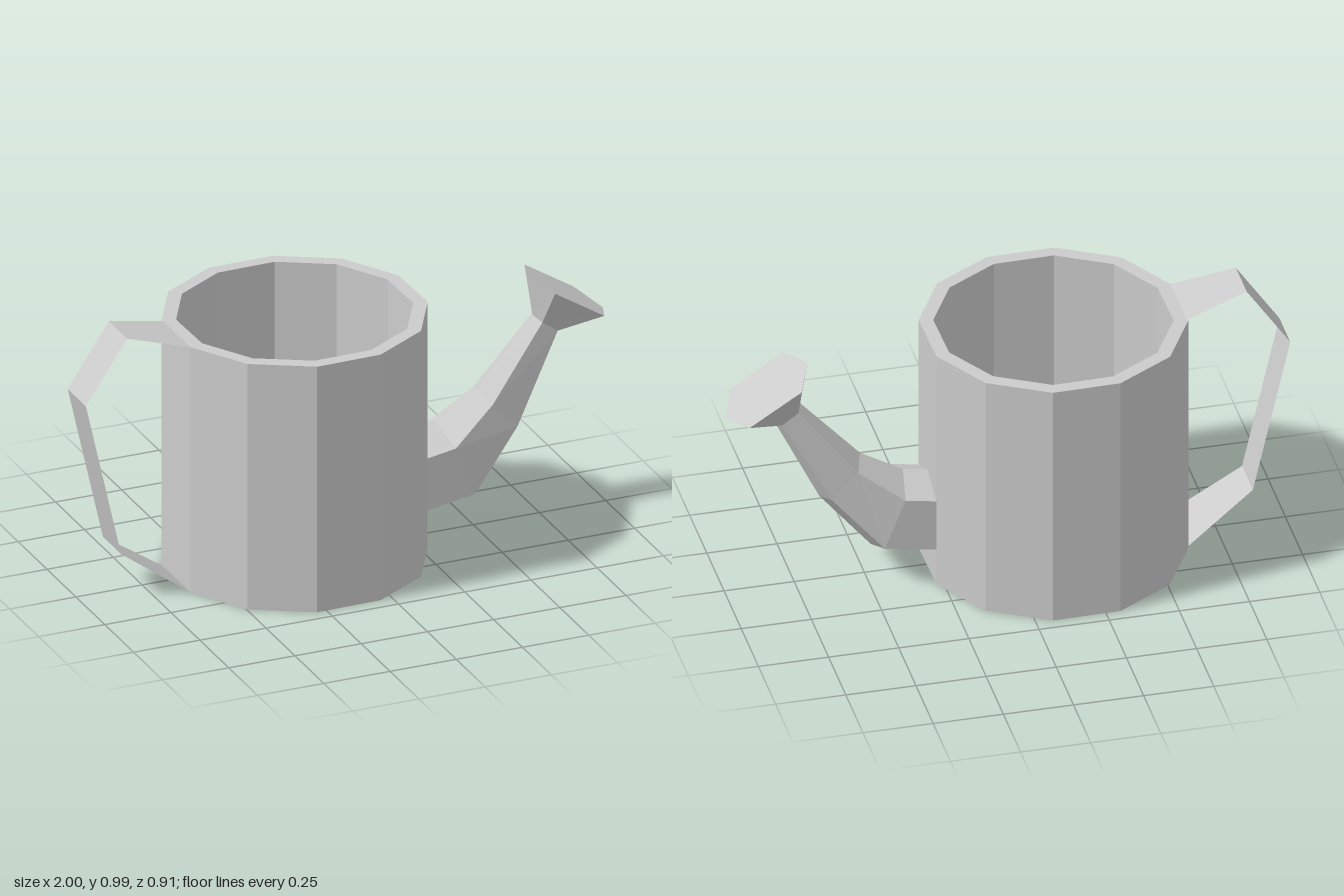
import * as THREE from 'three';

const grey = (side = THREE.FrontSide) =>
  new THREE.MeshStandardMaterial({ color: 0xcccccc, flatShading: true, side });

// Joins rings of points (all the same length) with quads; closed rings wrap round.
function loft(rings, closed, capEnd) {
  const n = rings[0].length;
  const index = [];
  for (let k = 0; k < rings.length - 1; k++) {
    for (let i = 0; i < (closed ? n : n - 1); i++) {
      const j = (i + 1) % n;
      const a = k * n + i, b = k * n + j;
      index.push(a, b, b + n, a, b + n, a + n);
    }
  }
  if (capEnd) {
    const s = (rings.length - 1) * n;
    for (let i = 1; i < n - 1; i++) index.push(s, s + i, s + i + 1);
  }
  const geometry = new THREE.BufferGeometry();
  geometry.setAttribute('position', new THREE.Float32BufferAttribute(rings.flat(2), 3));
  geometry.setIndex(index);
  geometry.computeVertexNormals();
  return geometry;
}

// Six-sided section spanning from a top point to a bottom point, pointed at both.
function hexRing([xt, yt, xb, yb, zc, halfWidth]) {
  const at = (t, side) => [xt + (xb - xt) * t, yt + (yb - yt) * t, zc + side * halfWidth];
  return [at(0, 0), at(0.18, 1), at(0.82, 1), at(1, 0), at(0.82, -1), at(0.18, -1)];
}

export function createModel() {
  const model = new THREE.Group();
  const add = (name, geometry, material) => {
    const mesh = new THREE.Mesh(geometry, material);
    mesh.name = name;
    model.add(mesh);
    return mesh;
  };

  // Twelve-sided open can with a thick wall
  const profile = [[0, 0], [0.467, 0], [0.467, 0.935], [0.416, 0.935], [0.416, 0.05], [0, 0.05]]
    .map(([r, y]) => new THREE.Vector2(r, y));
  const body = add('body',
    new THREE.LatheGeometry(profile, 12, THREE.MathUtils.degToRad(16)), grey());
  body.position.set(-0.173, 0, -0.003);

  // Bent, tapering spout: top x, top y, bottom x, bottom y, centre z, half width
  const neck = [0.735, 0.745, 0.825, 0.68, -0.022, 0.045];
  const spout = [
    [0.275, 0.395, 0.275, 0.085, -0.01, 0.122],
    [0.365, 0.41, 0.48, 0.12, -0.01, 0.122],
    [0.52, 0.505, 0.665, 0.35, -0.017, 0.083],
    neck,
  ];
  add('spout', loft(spout.map(hexRing), true, false), grey());

  // Flared sprinkler head closed by a flat face
  const head = [neck, [0.71, 0.91, 1, 0.725, -0.025, 0.133]];
  add('sprinklerHead', loft(head.map(hexRing), true, true), grey());

  // Thin ribbon handle, widening where it meets the body: x, y, half width
  const handle = [
    [-0.622, 0.935, 0.12], [-0.845, 0.992, 0.079], [-1, 0.762, 0.079],
    [-0.867, 0.175, 0.079], [-0.622, 0.002, 0.12],
  ].map(([x, y, w]) => [[x, y, 0.008 - w], [x, y, 0.008 + w]]);
  add('handle', loft(handle, false, false), grey(THREE.DoubleSide));

  return model;
}
